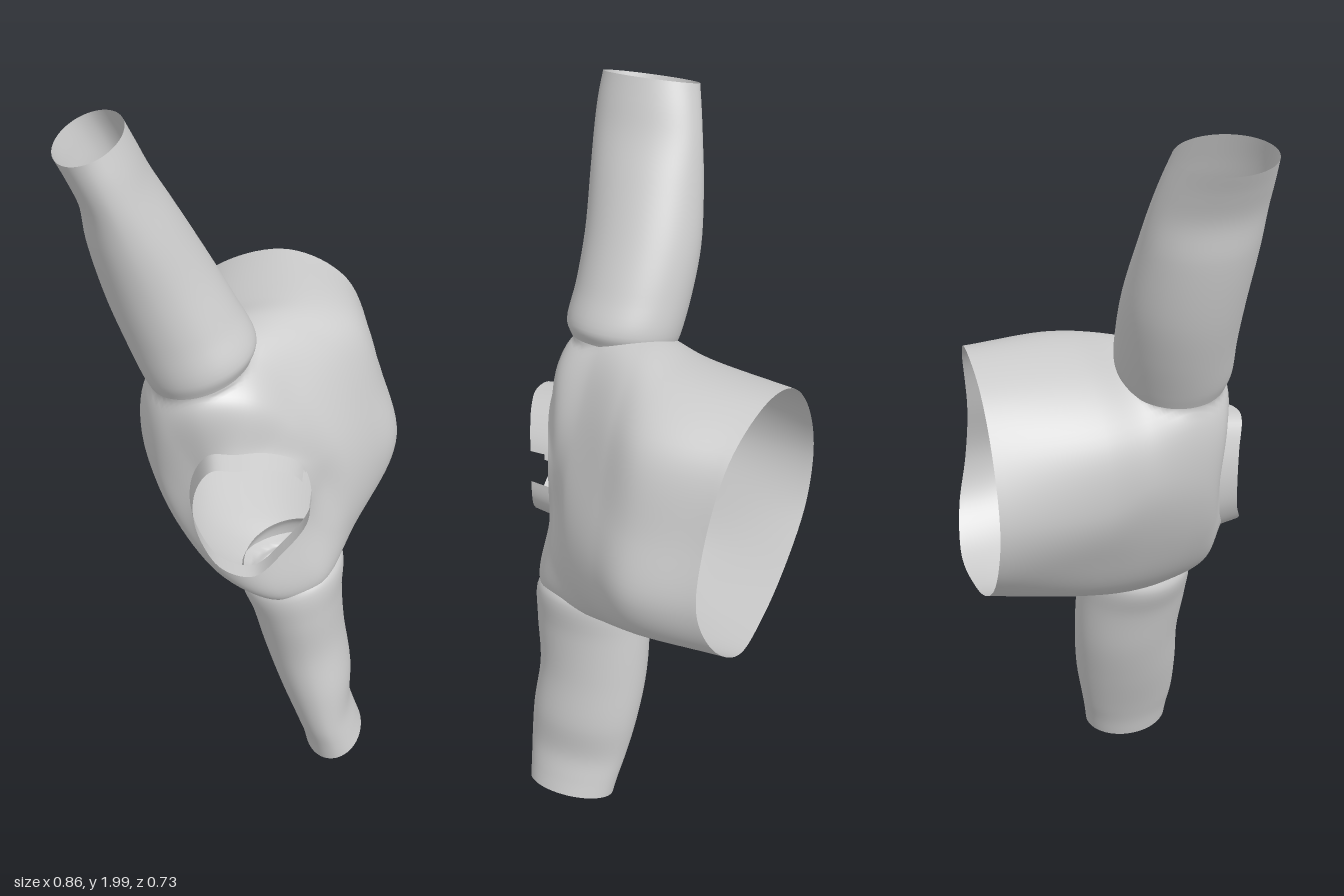
import * as THREE from 'three';

const material = new THREE.MeshStandardMaterial({ color: 0xcccccc, side: THREE.DoubleSide });
const AROUND = 96;
const V = (x, y, z) => new THREE.Vector3(x, y, z);

// Smooth skin through closed rings; adjust(point) shapes it, skip(centre) leaves openings
function loft(name, rings, steps, adjust = () => {}, skip = () => false) {
  const fine = rings.map(r => {
    const c = new THREE.CatmullRomCurve3(r, true);
    return Array.from({ length: AROUND }, (_, i) => c.getPoint(i / AROUND));
  });
  const cols = Array.from({ length: AROUND }, (_, i) =>
    new THREE.CatmullRomCurve3(fine.map(r => r[i])).getPoints(steps));
  const pos = [], index = [];
  cols.flat().forEach(p => {
    adjust(p);
    pos.push(p.x, p.y, p.z);
  });
  for (let i = 0; i < AROUND; i++) {
    const n = (i + 1) % AROUND;
    for (let j = 0; j < steps; j++) {
      const mid = cols[i][j].clone().add(cols[n][j + 1]).multiplyScalar(0.5);
      if (skip(mid)) continue;
      const a = i * (steps + 1) + j, b = n * (steps + 1) + j;
      index.push(a, b, b + 1, a, b + 1, a + 1);
    }
  }
  const g = new THREE.BufferGeometry();
  g.setAttribute('position', new THREE.Float32BufferAttribute(pos, 3));
  g.setIndex(index);
  g.computeVertexNormals();
  const mesh = new THREE.Mesh(g, material);
  mesh.name = name;
  return mesh;
}

// Centre and half width of an arm ring given as: low-x point, high-x point, back z, front z
const frame = ([lx, ly, rx, ry, z0, z1]) => ({
  c: V((lx + rx) / 2, (ly + ry) / 2, (z0 + z1) / 2),
  h: V((rx - lx) / 2, (ry - ly) / 2, 0),
  depth: (z1 - z0) / 2,
});

function armRing(row) {
  const { c, h, depth } = frame(row);
  return Array.from({ length: 16 }, (_, i) => {
    const a = i / 16 * Math.PI * 2;
    return c.clone().addScaledVector(h, Math.cos(a)).add(V(0, 0, Math.sin(a) * depth));
  });
}

// Where the body wall would close off an arm: spread() pushes it aside to line the arm, open() clears the rest
function mouth(row, side) {
  const { c, h, depth } = frame(row), len = h.length();
  const radius = p => {
    const d = p.clone().sub(c);
    const along = side * (d.y * h.x - d.x * h.y) / len;
    return along > -0.015 && along < 0.2 ? Math.hypot(d.dot(h) / (len * len), d.z / depth) : 9;
  };
  return {
    spread(p) {
      const r = radius(p);
      if (r > 0.97) return;
      const d = p.clone().sub(c), s = d.dot(h) / (len * len), grow = 0.97 / r - 1;
      p.addScaledVector(h, s * grow).add(V(0, 0, d.z * grow));
    },
    open: p => radius(p) < 0.93,
  };
}

const upper = [
  [-0.43, 1.945, -0.265, 1.998, 0.03, 0.288],
  [-0.405, 1.89, -0.24, 1.94, 0.015, 0.292],
  [-0.38, 1.82, -0.21, 1.87, 0.0, 0.292],
  [-0.37, 1.72, -0.155, 1.77, -0.015, 0.288],
  [-0.335, 1.56, -0.08, 1.63, -0.03, 0.28],
  [-0.295, 1.44, -0.015, 1.51, -0.025, 0.283],
  [-0.255, 1.34, 0.03, 1.42, -0.012, 0.292],
  [-0.238, 1.305, 0.02, 1.38, 0.0, 0.28],
];
const lower = [
  [0.0, 0.67, 0.25, 0.74, 0.0, 0.275],
  [-0.01, 0.63, 0.27, 0.71, -0.02, 0.295],
  [0.02, 0.54, 0.272, 0.6, -0.03, 0.295],
  [0.055, 0.4, 0.285, 0.45, -0.03, 0.283],
  [0.1, 0.26, 0.308, 0.3, -0.015, 0.295],
  [0.15, 0.125, 0.31, 0.18, 0.01, 0.298],
  [0.172, 0.06, 0.33, 0.11, 0.025, 0.293],
  [0.185, 0.005, 0.348, 0.06, 0.035, 0.29],
];

// Body outlines, from +x counterclockwise, from the back opening to the front hole
const back = [[0.42, 0.93, -0.277], [0.378, 1.1, -0.275], [0.295, 1.31, -0.305], [0.14, 1.385, -0.335],
  [-0.04, 1.34, -0.35], [-0.17, 1.21, -0.36], [-0.23, 1.04, -0.365], [-0.19, 0.89, -0.365],
  [-0.07, 0.765, -0.355], [0.1, 0.69, -0.345], [0.27, 0.7, -0.34], [0.385, 0.8, -0.31]];
const belly = [[0.43, 0.93], [0.382, 1.1], [0.3, 1.31], [0.14, 1.395], [-0.07, 1.36], [-0.22, 1.23],
  [-0.255, 1.05], [-0.195, 0.88], [-0.09, 0.72], [0.1, 0.65], [0.28, 0.7], [0.39, 0.8]];
const middle = [[0.37, 0.94], [0.325, 1.11], [0.23, 1.3], [0.08, 1.4], [-0.1, 1.38], [-0.235, 1.26],
  [-0.268, 1.1], [-0.2, 0.88], [-0.1, 0.72], [0.1, 0.62], [0.26, 0.68], [0.35, 0.8]];
const chest = [[0.28, 0.97], [0.24, 1.11], [0.14, 1.27], [0.02, 1.38], [-0.13, 1.38], [-0.235, 1.29],
  [-0.255, 1.1], [-0.19, 0.88], [-0.085, 0.72], [0.1, 0.62], [0.25, 0.69], [0.285, 0.82]];
const brow = [[0.21, 0.98, 0.2], [0.185, 1.09, 0.21], [0.11, 1.22, 0.24], [0.01, 1.31, 0.27],
  [-0.12, 1.32, 0.28], [-0.205, 1.24, 0.25], [-0.22, 1.07, 0.225], [-0.17, 0.9, 0.235],
  [-0.055, 0.74, 0.27], [0.09, 0.67, 0.285], [0.2, 0.71, 0.265], [0.23, 0.84, 0.215]];
const hole = [[0.17, 1], [0.14, 1.11], [0.05, 1.175], [-0.03, 1.187], [-0.09, 1.18], [-0.13, 1.11],
  [-0.143, 1.02], [-0.125, 0.93], [-0.07, 0.855], [0.02, 0.815], [0.1, 0.87], [0.16, 0.94]];
const place = (outline, z) => outline.map(p => V(p[0], p[1], z(p)));

export function createModel() {
  const group = new THREE.Group();
  group.name = 'branchedTube';

  const rim = place(hole, ([x]) => 0.31 - 0.4 * Math.max(0, x) - 0.55 * Math.max(0, -x - 0.07));

  // Hollow body, open at the back, at the front hole and into both arms
  const mouths = [mouth(upper[7], 1), mouth(lower[0], -1)];
  group.add(loft('body', [
    place(back, p => p[2]),
    place(belly, () => -0.08),
    place(middle, () => 0.03),
    place(chest, () => 0.15),
    place(brow, p => p[2]),
    rim,
  ], 64, p => mouths.forEach(m => m.spread(p)), p => mouths.some(m => m.open(p))));

  // Open arms
  group.add(loft('upperArm', upper.map(armRing), 40));
  group.add(loft('lowerArm', lower.map(armRing), 40));

  // Thin collar around the front hole, with a gap at one side
  const edge = rim.map(p => V(p.x * 0.95, 1 + (p.y - 1) * 0.95, p.z + 0.055));
  group.add(loft('collar', [rim, edge], 3, () => {}, p => p.x > 0.1 && p.y > 1.01 && p.y < 1.09));

  return group;
}
